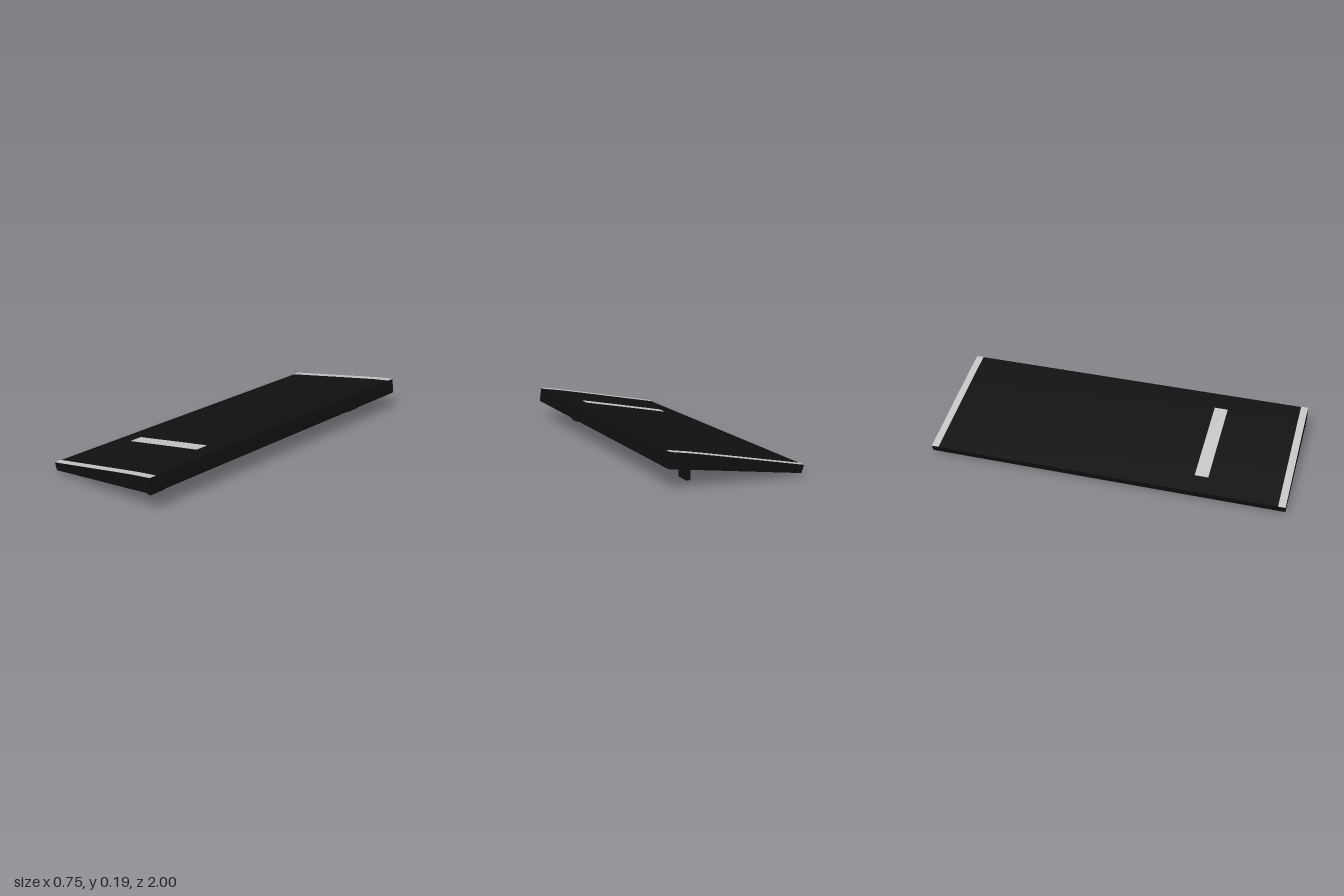
import * as THREE from 'three';

export function createModel() {
  const group = new THREE.Group();
  const black = new THREE.MeshStandardMaterial({ color: 0x101010 });
  black.name = 'black casing';
  const grey = new THREE.MeshStandardMaterial({ color: 0xc4c4c4 });
  grey.name = 'light grey trim';

  // Gently bowed top edge of the sloping case, from low side to high side
  const topEdge = [[-0.375, 0.055], [-0.1, 0.106], [0.1, 0.143], [0.25, 0.17], [0.362, 0.187]];
  const topY = (x) => {
    let i = 1;
    while (i < topEdge.length - 1 && x > topEdge[i][0]) i++;
    const [x0, y0] = topEdge[i - 1], [x1, y1] = topEdge[i];
    return y0 + (y1 - y0) * (x - x0) / (x1 - x0);
  };

  // Extrude an xy outline between two z positions
  function slab(name, points, z0, z1, material) {
    const shape = new THREE.Shape(points.map(([x, y]) => new THREE.Vector2(x, y)));
    const geometry = new THREE.ExtrudeGeometry(shape, { depth: z1 - z0, bevelEnabled: false });
    geometry.translate(0, 0, z0);
    const mesh = new THREE.Mesh(geometry, material);
    mesh.name = name;
    group.add(mesh);
  }

  // Thin plate lying on the bowed top
  function topPlate(name, x0, x1, z0, z1, thickness) {
    const inner = topEdge.map((p) => p[0]).filter((x) => x > x0 && x < x1);
    const xs = [x0, ...inner, x1];
    const lower = xs.map((x) => [x, topY(x)]);
    const upper = xs.map((x) => [x, topY(x) + thickness]).reverse();
    slab(name, [...lower, ...upper], z0, z1, grey);
  }

  // Wedge-shaped case
  slab('case', [[-0.36, 0.014], [0.372, 0.104], ...[...topEdge].reverse()], -1, 1, black);

  // Trim along both ends and the long bar
  topPlate('frontTrim', -0.375, 0.362, 0.96, 1, 0.002);
  topPlate('backTrim', -0.375, 0.362, -1, -0.96, 0.002);
  topPlate('longBar', -0.262, 0.247, 0.485, 0.56, 0.002);

  // Two flat feet under the raised side
  for (const side of [1, -1]) {
    const foot = new THREE.Mesh(new THREE.BoxGeometry(0.024, 0.09, 0.095), black);
    foot.position.set(0.2, 0.045, side * 0.813);
    foot.name = side > 0 ? 'frontFoot' : 'backFoot';
    group.add(foot);
  }
  return group;
}
